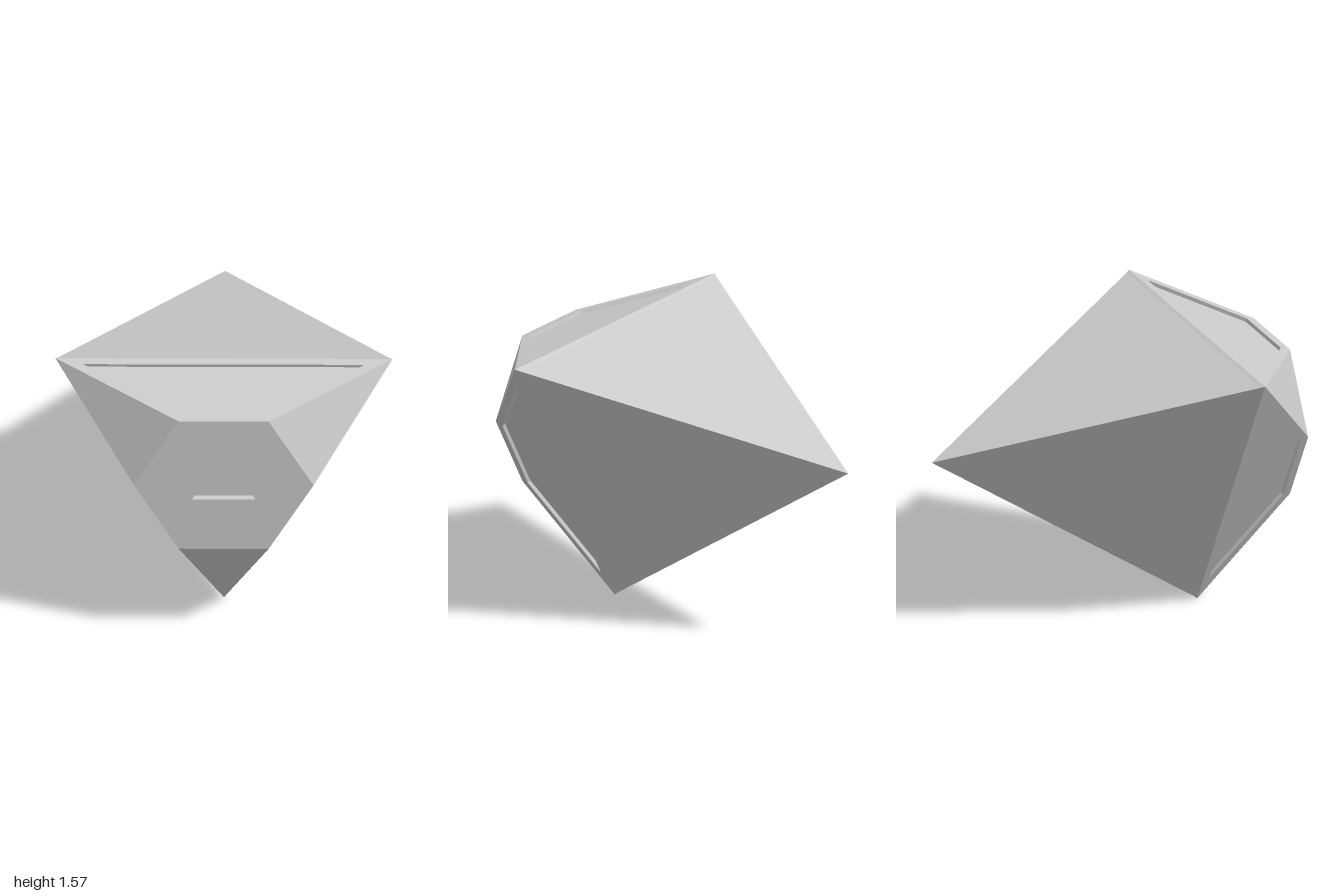
import * as THREE from 'three';

const R = 1.048;      // girdle triangle radius
const H = 0.484;      // front hexagon radius
const GIRDLE_Z = 0.56, FRONT_Z = 1, DEPTH = 0.02;

const V = (x, y, z) => new THREE.Vector3(x, y, z);
const material = new THREE.MeshStandardMaterial({ color: 0xcccccc, flatShading: true });

// Flat convex faces, corners counter-clockwise from outside
function facets(name, polygons) {
  const pos = [];
  for (const p of polygons)
    for (let i = 1; i < p.length - 1; i++)
      for (const v of [p[0], p[i], p[i + 1]]) pos.push(v.x, v.y, v.z);
  const geometry = new THREE.BufferGeometry();
  geometry.setAttribute('position', new THREE.Float32BufferAttribute(pos, 3));
  geometry.computeVertexNormals();
  const mesh = new THREE.Mesh(geometry, material);
  mesh.name = name;
  return mesh;
}

// Quads joining two loops of equal length
const band = (a, b) => a.map((p, i) => {
  const j = (i + 1) % a.length;
  return [p, a[j], b[j], b[i]];
});

// Regular loop of corners around the z axis
const ring = (radius, sides, start, z) => Array.from({ length: sides }, (_, i) => {
  const t = start + (i * 2 * Math.PI) / sides;
  return V(radius * Math.cos(t), radius * Math.sin(t), z);
});

export function createModel() {
  const model = new THREE.Group();
  model.name = 'facetedGem';
  const gem = new THREE.Group();
  gem.name = 'gemBody';
  gem.position.y = R;
  model.add(gem);

  // Back pyramid and thin girdle bevel
  const girdle = ring(R, 3, -Math.PI / 2, GIRDLE_Z);
  const backRing = ring(1.03, 3, -Math.PI / 2, 0.54);
  const apex = V(0, 0, -1);
  gem.add(facets('girdleBevel', band(backRing, girdle)));
  gem.add(facets('backPyramid', backRing.map((p, i) => [apex, backRing[(i + 1) % 3], p])));

  // Front hexagon with a triangular recess
  const cut = [V(-0.17, -0.093, FRONT_Z), V(0.17, -0.093, FRONT_Z), V(0, 0.202, FRONT_Z)];
  const cutFloor = [V(-0.164, -0.083, FRONT_Z - DEPTH), V(0.164, -0.083, FRONT_Z - DEPTH),
    V(0, 0.202, FRONT_Z - DEPTH)];
  const flat = (points) => points.map((p) => new THREE.Vector2(p.x, p.y));
  const shape = new THREE.Shape(flat(ring(H, 6, 0, 0)));
  shape.holes.push(new THREE.Path(flat(cut)));
  const frontFace = new THREE.Mesh(new THREE.ShapeGeometry(shape), material);
  frontFace.name = 'frontHexagon';
  frontFace.position.z = FRONT_Z;
  gem.add(frontFace, facets('triangleRecess', [...band(cut, cutFloor), cutFloor]));

  // Sloping panel: frame, recess walls and floor
  const yTop = R / 2, yFront = H * Math.sin(Math.PI / 3);
  const slope = (yTop - yFront) / (FRONT_Z - GIRDLE_Z);
  const onFace = (x, z) => V(x, yTop - slope * (z - GIRDLE_Z), z);
  const trapezoid = (xBack, zBack, xFront, zFront) => [
    onFace(-xBack, zBack), onFace(-xFront, zFront), onFace(xFront, zFront), onFace(xBack, zBack)];
  const outer = trapezoid(R * Math.cos(Math.PI / 6), GIRDLE_Z, H / 2, FRONT_Z);
  const inner = trapezoid(0.755, 0.602, 0.228, 0.952);
  const inward = V(0, 1, slope).normalize().multiplyScalar(-DEPTH);
  const floor = inner.map((p) => p.clone().add(inward));

  // Three panels alternate with three corner facets
  for (let i = 0; i < 3; i++) {
    const side = new THREE.Group();
    side.name = `side${i + 1}`;
    side.rotation.z = (i * 2 * Math.PI) / 3;
    side.add(
      facets('panelFrame', band(outer, inner)),
      facets('panelRecess', [...band(inner, floor), floor]),
      facets('cornerFacet', [[V(0, -R, GIRDLE_Z), V(H / 2, -yFront, FRONT_Z), V(-H / 2, -yFront, FRONT_Z)]]),
    );
    gem.add(side);
  }
  return model;
}
